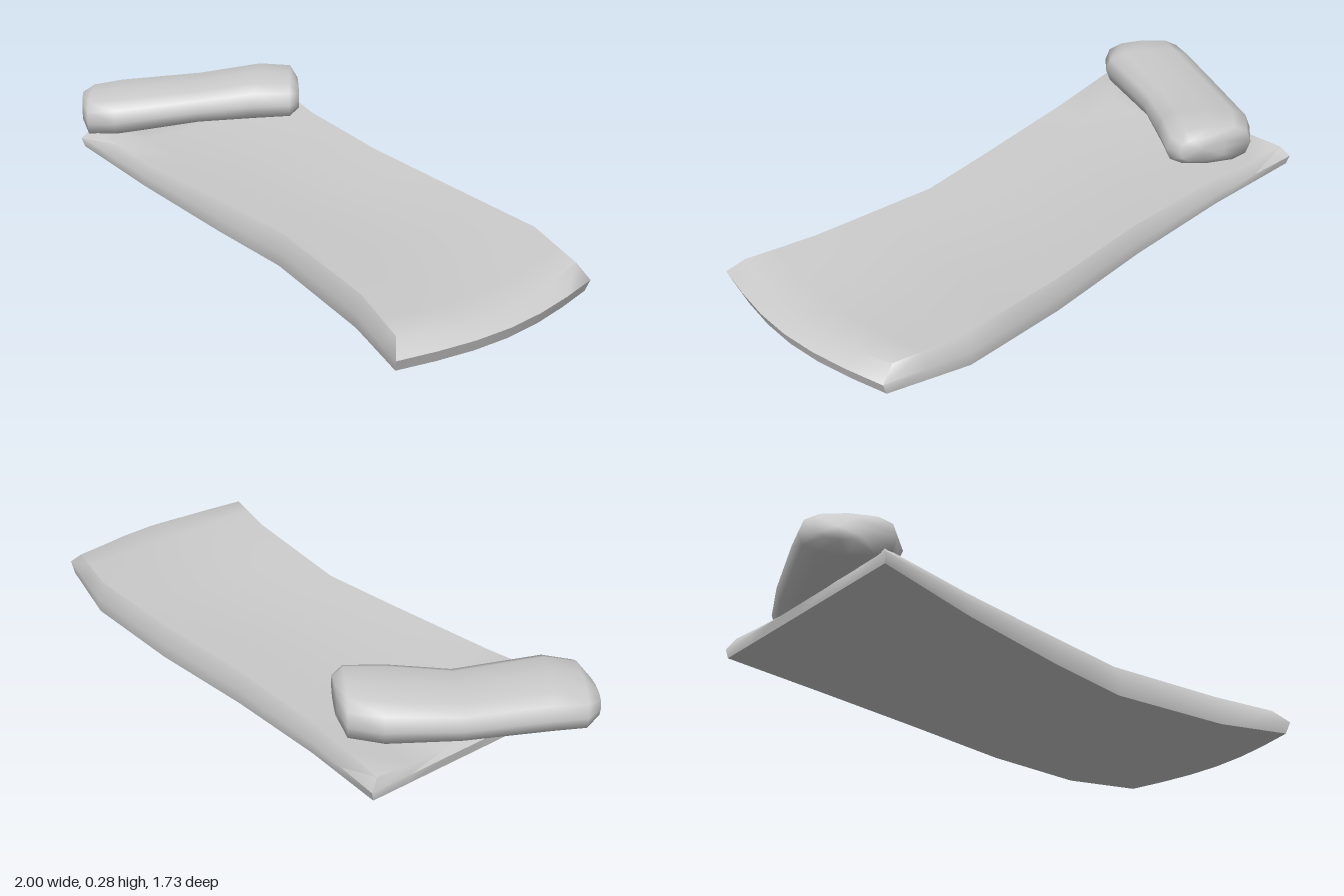
import * as THREE from 'three';
import { mergeVertices, toCreasedNormals } from 'three/addons/utils/BufferGeometryUtils.js';

const material = new THREE.MeshStandardMaterial({ color: 0xcccccc });
const lerp = THREE.MathUtils.lerp;

// Stations run head to foot: near edge x, z, far edge x, z, underside y, rim y
const matStations = [
  [-0.92, -0.17, -0.42, -0.87, 0.06, 0.125],
  [-0.60, 0.00, -0.17, -0.64, 0.025, 0.112],
  [-0.25, 0.19, 0.14, -0.41, 0.005, 0.11],
  [0.02, 0.34, 0.48, -0.20, 0.0, 0.11],
  [0.37, 0.64, 0.80, 0.01, 0.012, 0.12],
  [0.56, 0.86, 1.00, 0.23, 0.03, 0.115],
];

// Stations run across the model: back x, z, front x, z, bottom y, top y
const pillowStations = [
  [-0.997, -0.36, -0.94, -0.23, 0.12, 0.205],
  [-0.97, -0.42, -0.88, -0.15, 0.09, 0.23],
  [-0.88, -0.475, -0.78, -0.165, 0.095, 0.243],
  [-0.63, -0.62, -0.53, -0.335, 0.11, 0.245],
  [-0.42, -0.72, -0.34, -0.405, 0.12, 0.275],
  [-0.31, -0.73, -0.215, -0.45, 0.13, 0.275],
  [-0.255, -0.65, -0.195, -0.50, 0.16, 0.25],
];

function stationAt(stations, s) {
  const f = s * (stations.length - 1);
  const i = Math.min(Math.floor(f), stations.length - 2);
  return stations[i].map((v, k) => lerp(v, stations[i + 1][k], f - i));
}

// Thin slab bent over the stations, with a bevelled rim and a sagging middle
function matGeometry() {
  const box = new THREE.BoxGeometry(1, 1, 1, 10, 2, 6);
  box.deleteAttribute('normal');
  box.deleteAttribute('uv');
  const geo = mergeVertices(box);
  const p = geo.attributes.position;
  for (let i = 0; i < p.count; i++) {
    const s = p.getX(i) + 0.5, h = p.getY(i) + 0.5, t = 0.5 - p.getZ(i);
    const inset = h > 0.9 ? 1 : h < 0.1 ? 0.3 : 0;
    const sIn = s > 0.99 ? s - 0.035 * inset : s < 0.01 ? 0.01 * inset : s;
    const tIn = lerp(t, 0.5, 0.07 * inset);
    const [nx, nz, fx, fz, low, high] = stationAt(matStations, sIn);
    const arch = Math.sin(Math.PI * t);
    const bulge = 0.06 * arch * Math.max(0, s * 5 - 4); // rounded foot end
    p.setXYZ(i,
      lerp(nx, fx, tIn) + bulge * 0.8,
      h > 0.9 ? high - 0.018 * arch : lerp(low, high, h),
      lerp(nz, fz, tIn) + bulge * 0.6);
  }
  return toCreasedNormals(geo, 0.95);
}

// Closed loft of rounded cross-sections, with a domed fan at each end
function pillowGeometry(sides = 12) {
  const pos = [], idx = [];
  const soft = v => Math.sign(v) * Math.pow(Math.abs(v), 0.75);
  for (const [bx, bz, fx, fz, low, high] of pillowStations) {
    for (let j = 0; j < sides; j++) {
      const a = j / sides * Math.PI * 2;
      const w = 0.5 + 0.5 * soft(Math.cos(a));
      pos.push(lerp(bx, fx, w), lerp(low, high, 0.5 + 0.5 * soft(Math.sin(a))), lerp(bz, fz, w));
    }
  }
  const n = pillowStations.length;
  for (let i = 0; i < n - 1; i++) {
    for (let j = 0; j < sides; j++) {
      const a = i * sides + j, b = i * sides + (j + 1) % sides;
      idx.push(a, a + sides, b, b, a + sides, b + sides);
    }
  }
  for (const end of [0, n - 1]) {
    const [bx, bz, fx, fz, low, high] = pillowStations[end];
    const c = pos.length / 3;
    pos.push((bx + fx) / 2, (low + high) / 2, (bz + fz) / 2);
    for (let j = 0; j < sides; j++) {
      const a = end * sides + j, b = end * sides + (j + 1) % sides;
      if (end === 0) idx.push(c, a, b);
      else idx.push(c, b, a);
    }
  }
  const geo = new THREE.BufferGeometry();
  geo.setAttribute('position', new THREE.Float32BufferAttribute(pos, 3));
  geo.setIndex(idx);
  geo.computeVertexNormals();
  return geo;
}

export function createModel() {
  const group = new THREE.Group();
  group.name = 'bedroll';
  for (const [name, geo] of [['sleepingMat', matGeometry()], ['pillow', pillowGeometry()]]) {
    const mesh = new THREE.Mesh(geo, material);
    mesh.name = name;
    group.add(mesh);
  }
  return group;
}
